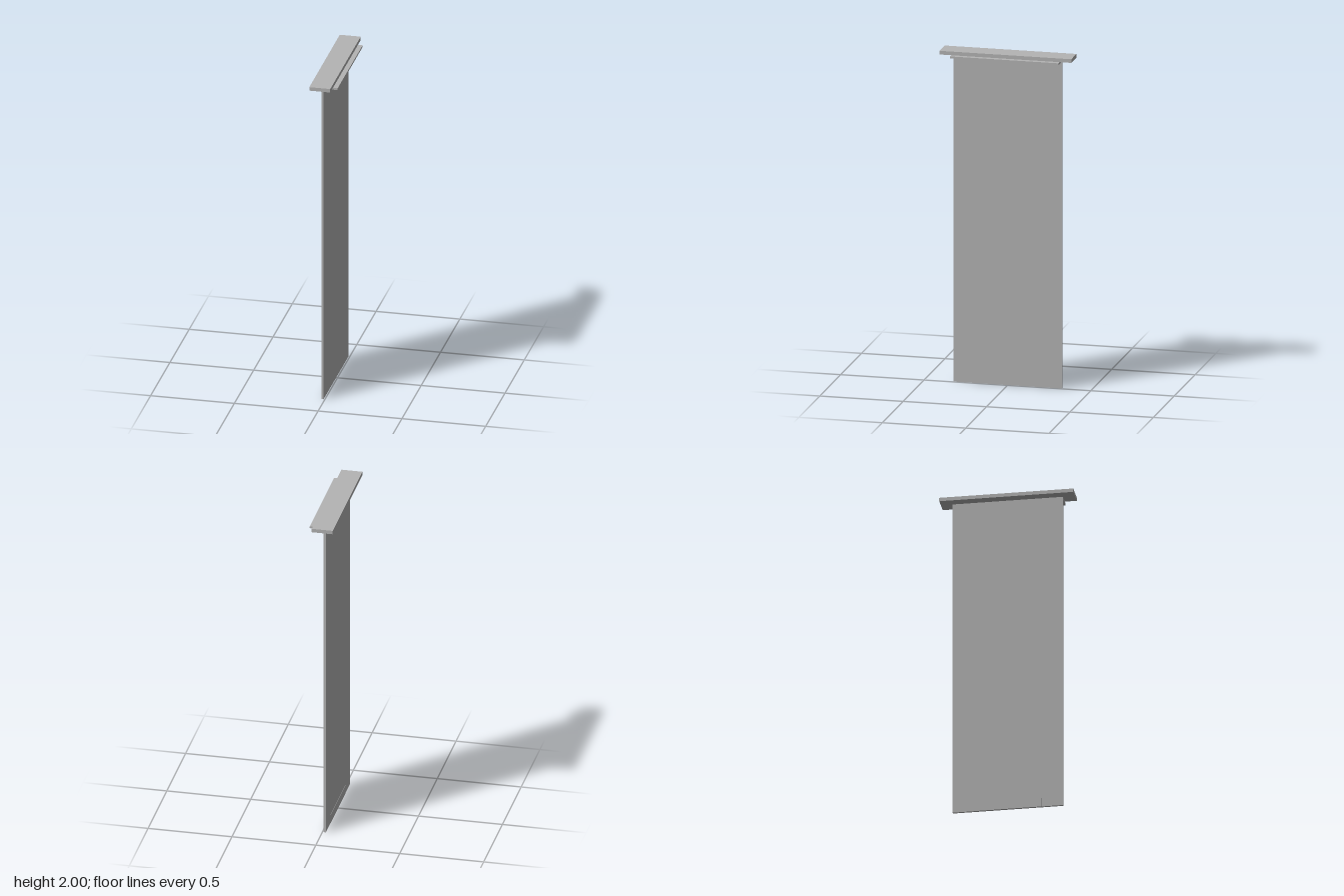
import * as THREE from 'three';

export function createModel() {
  const model = new THREE.Group();
  const grey = new THREE.MeshStandardMaterial({ color: 0xb4b4b4 });
  grey.name = 'grey';

  // Box given by its x, y and z limits
  const addBox = (name, [x0, x1], [y0, y1], [z0, z1]) => {
    const mesh = new THREE.Mesh(new THREE.BoxGeometry(x1 - x0, y1 - y0, z1 - z0), grey);
    mesh.position.set((x0 + x1) / 2, (y0 + y1) / 2, (z0 + z1) / 2);
    mesh.name = name;
    model.add(mesh);
  };

  // Wide cap plate on top
  addBox('topPlate', [-0.077, 0.048], [1.978, 2], [-0.395, 0.395]);
  // Horizontal flange under the cap, sticking out to +x
  addBox('flange', [-0.008, 0.076], [1.967, 1.978], [-0.325, 0.325]);
  // Tall hanging panel
  addBox('panel', [-0.02, -0.008], [0, 1.978], [-0.325, 0.325]);
  // Thin strip at the foot of the panel
  addBox('bottomStrip', [-0.021, -0.019], [0, 0.055], [-0.2, 0.2]);

  return model;
}
